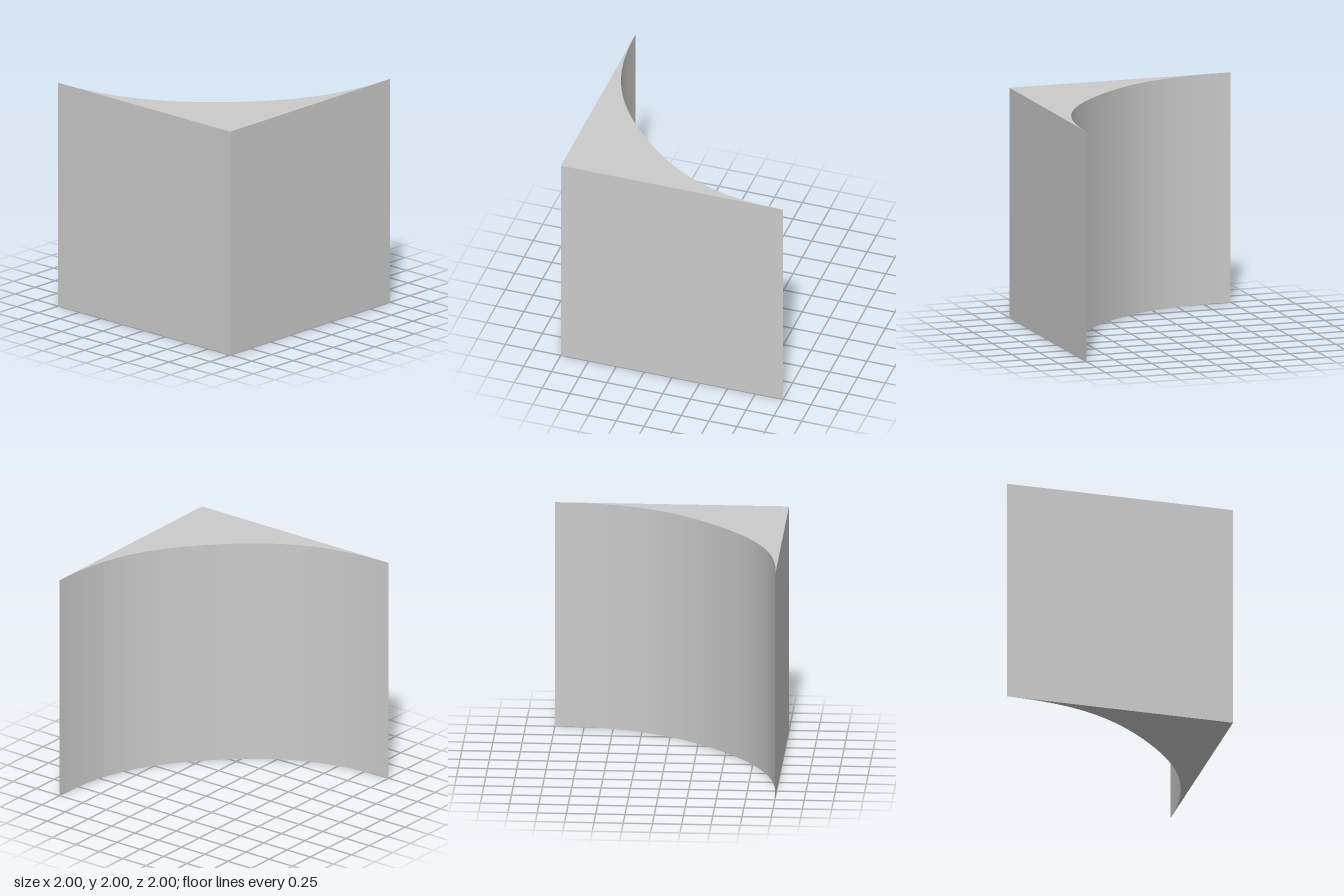
import * as THREE from 'three';

export function createModel() {
  const group = new THREE.Group();
  group.name = 'coveMoulding';

  // Plan of the cove (shape y = -z): a square corner closed by a concave curve
  const mid = Math.SQRT2 - 1; // middle of the curve, on a radius of 2
  const handle = 0.6;
  const d = handle * Math.SQRT1_2;
  const plan = new THREE.Shape();
  plan.moveTo(-1, -1);
  plan.lineTo(1, -1);
  plan.bezierCurveTo(1 - handle, -1, -mid + d, -mid - d, -mid, -mid);
  plan.bezierCurveTo(-mid - d, -mid + d, -1, 1 - handle, -1, 1);
  plan.closePath();

  // Raise the plan to full height
  const geometry = new THREE.ExtrudeGeometry(plan, { depth: 2, bevelEnabled: false, curveSegments: 24 });
  geometry.rotateX(-Math.PI / 2);

  const cove = new THREE.Mesh(geometry, new THREE.MeshStandardMaterial({ color: 0xcccccc }));
  cove.name = 'concaveCornerBlock';
  group.add(cove);
  return group;
}
